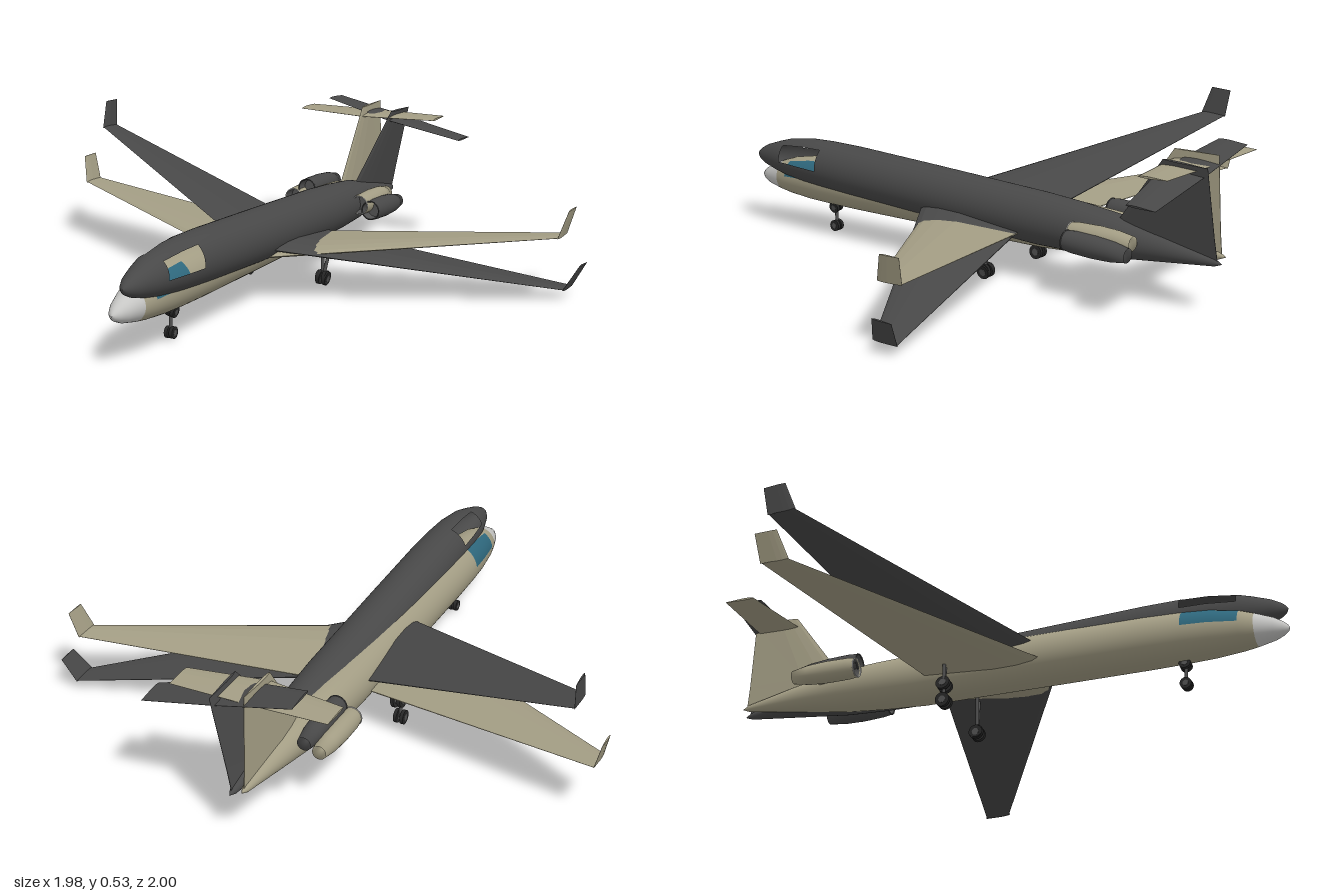
import * as THREE from 'three';

const mat = (name, color, side = THREE.DoubleSide) =>
  Object.assign(new THREE.MeshStandardMaterial({ color, side }), { name });

const TAN = mat('tan paint', 0xa39d84);
const CHARCOAL = mat('charcoal paint', 0x484848);
const PALE = mat('pale grey', 0xc6c6c4);
const GLASS = mat('teal glass', 0x2e677c);
const RUBBER = mat('black rubber', 0x262626);
const STEEL = mat('dark steel', 0x505050);

function add(parent, name, geometry, material, x = 0, y = 0, z = 0) {
  const mesh = new THREE.Mesh(geometry, material);
  mesh.name = name;
  mesh.position.set(x, y, z);
  parent.add(mesh);
  return mesh;
}

// Fuselage stations: z, centre height, radius
const STATIONS = [
  [1.0, 0.167, 0.001], [0.994, 0.167, 0.012], [0.98, 0.168, 0.023], [0.95, 0.171, 0.038],
  [0.89, 0.177, 0.056], [0.84, 0.182, 0.068], [0.74, 0.187, 0.081], [0.65, 0.189, 0.086],
  [0.52, 0.19, 0.089], [0.2, 0.19, 0.09], [-0.3, 0.19, 0.09], [-0.45, 0.192, 0.084],
  [-0.6, 0.194, 0.073], [-0.78, 0.192, 0.045], [-0.97, 0.186, 0.012], [-0.995, 0.185, 0.001],
];

// Round hull, split into nose cone, cockpit side windows and body
function buildHull(plane, skin, noseMaterial, glass) {
  const N = 60, pos = [], all = [], body = [], nose = [], windows = [];
  for (const [z, cy, r] of STATIONS)
    for (let j = 0; j < N; j++) {
      const a = (j / N) * Math.PI * 2;
      pos.push(Math.cos(a) * r, cy + Math.sin(a) * r, z);
    }
  for (let i = 0; i < STATIONS.length - 1; i++)
    for (let j = 0; j < N; j++) {
      const k = (j + 1) % N;
      const a = i * N + j, b = a + N, c = (i + 1) * N + k, d = i * N + k;
      const quad = [a, b, c, a, c, d];
      all.push(...quad);
      const inWindow = (i === 5 || i === 6) && ((j >= 1 && j < 10) || (j >= 20 && j < 29));
      (i < 4 ? nose : inWindow ? windows : body).push(...quad);
    }
  const full = new THREE.BufferGeometry();
  full.setAttribute('position', new THREE.Float32BufferAttribute(pos, 3));
  full.setIndex(all);
  full.computeVertexNormals();
  const part = (name, index, material) => {
    const g = full.clone();
    g.setIndex(index);
    add(plane, name, g, material);
  };
  part('fuselage', body, skin);
  part('noseCone', nose, noseMaterial);
  if (glass) part('cockpitWindows', windows, glass);
}

// Aerofoil outline: fraction of chord, fraction of half thickness
const FOIL = [[0, 0], [0.06, 0.5], [0.2, 0.9], [0.4, 1], [1, 0.08],
  [1, -0.08], [0.4, -0.8], [0.2, -0.75], [0.06, -0.45]];

// Lifting surface through sections [x, y, leading z, chord, half thickness];
// "up" is the thickness direction, side = -1 mirrors it
function foilSurface(sections, up, side = 1) {
  const n = FOIL.length, pos = [], idx = [];
  for (const [x, y, z, chord, t] of sections)
    for (const [u, v] of FOIL)
      pos.push(side * (x + up[0] * v * t), y + up[1] * v * t, z - u * chord);
  const tri = (a, b, c) => (side > 0 ? idx.push(a, b, c) : idx.push(a, c, b));
  for (let i = 0; i < sections.length - 1; i++)
    for (let j = 0; j < n; j++) {
      const k = (j + 1) % n, a = i * n + j, d = i * n + k;
      tri(a, a + n, d + n);
      tri(a, d + n, d);
    }
  const last = (sections.length - 1) * n;
  for (let j = 1; j < n - 1; j++) tri(last, last + j + 1, last + j);
  const g = new THREE.BufferGeometry();
  g.setAttribute('position', new THREE.Float32BufferAttribute(pos, 3));
  g.setIndex(idx);
  const flat = g.toNonIndexed();
  flat.computeVertexNormals();
  return flat;
}

// Hollow nacelle with an inner duct, turned around its long axis
const NACELLE = [[0.006, -0.2], [0.028, -0.16], [0.029, -0.03], [0.032, -0.005]];
const NACELLE_OUT = [[0.033, 0], [0.037, -0.03], [0.038, -0.11], [0.034, -0.18], [0.024, -0.24], [0.006, -0.2]];
const lathe = (pts) => {
  const g = new THREE.LatheGeometry(pts.map(([r, h]) => new THREE.Vector2(r, h)), 28);
  g.rotateX(Math.PI / 2);
  return g;
};

function buildEngine(plane, side, skin, lip) {
  const engine = new THREE.Group();
  engine.name = side > 0 ? 'leftEngine' : 'rightEngine';
  engine.position.set(side * 0.132, 0.213, -0.49);
  add(engine, 'nacelle', lathe(NACELLE_OUT), skin);
  add(engine, 'intakeDuct', lathe(NACELLE), STEEL);
  add(engine, 'intakeLip', new THREE.TorusGeometry(0.033, 0.0025, 8, 28), lip);
  add(engine, 'fan', new THREE.CircleGeometry(0.028, 24), STEEL, 0, 0, -0.04);
  add(engine, 'pylon', new THREE.BoxGeometry(0.06, 0.012, 0.13), skin, -side * 0.05, -0.003, -0.11);
  plane.add(engine);
}

// Strut, axle and a pair of wheels
function buildGear(plane, name, x, z, top, radius, spread) {
  const gear = new THREE.Group();
  gear.name = name;
  gear.position.set(x, radius + 0.002, z);
  const height = top - radius;
  add(gear, 'strut', new THREE.CylinderGeometry(0.006, 0.006, height, 10), STEEL, 0, height / 2, 0);
  const axle = add(gear, 'axle', new THREE.CylinderGeometry(0.004, 0.004, spread * 2, 8), STEEL);
  axle.rotation.z = Math.PI / 2;
  for (const s of [-1, 1]) {
    const wheel = add(gear, 'wheel', new THREE.CylinderGeometry(radius, radius, 0.012, 20), RUBBER, s * spread);
    wheel.rotation.z = Math.PI / 2;
    const hub = add(gear, 'hub', new THREE.CylinderGeometry(radius * 0.5, radius * 0.5, 0.014, 14), STEEL, s * spread);
    hub.rotation.z = Math.PI / 2;
  }
  plane.add(gear);
}

function buildPlane(name, skin, trim, glass) {
  const plane = new THREE.Group();
  plane.name = name;
  buildHull(plane, skin, trim, glass);

  for (const s of [1, -1]) {
    const label = s > 0 ? 'left' : 'right';
    // Swept wing and canted winglet
    add(plane, label + 'Wing', foilSurface([
      [0.04, 0.162, 0.185, 0.43, 0.02],
      [0.942, 0.216, -0.35, 0.09, 0.004],
    ], [0, 1], s), skin);
    add(plane, label + 'Winglet', foilSurface([
      [0.941, 0.214, -0.345, 0.098, 0.004],
      [0.968, 0.308, -0.377, 0.077, 0.003],
    ], [-1, 0.27], s), skin);
    // High tailplane
    add(plane, label + 'Tailplane', foilSurface([
      [0, 0.478, -0.79, 0.155, 0.007],
      [0.272, 0.478, -0.832, 0.108, 0.004],
    ], [0, 1], s), skin);
    buildEngine(plane, s, skin, trim);
    buildGear(plane, label + 'MainGear', s * 0.15, -0.155, 0.165, 0.025, 0.012);
  }

  // Swept fin
  add(plane, 'fin', foilSurface([
    [0, 0.19, -0.56, 0.42, 0.014],
    [0, 0.27, -0.62, 0.353, 0.012],
    [0, 0.512, -0.795, 0.165, 0.006],
  ], [-1, 0]), skin);

  buildGear(plane, 'noseGear', 0, 0.645, 0.12, 0.02, 0.009);
  return plane;
}

export function createModel() {
  const model = new THREE.Group();
  model.name = 'twoJets';

  // Level tan jet
  const level = buildPlane('tanJet', TAN, PALE, GLASS);
  level.position.set(-0.023, 0, 0);

  // Charcoal jet with open windows, banked and pitched through the first
  const banked = buildPlane('charcoalJet', CHARCOAL, CHARCOAL, null);
  banked.position.set(-0.023, 0.04, 0);
  banked.rotation.set(-0.05, 0, -0.211);

  model.add(level, banked);
  return model;
}
